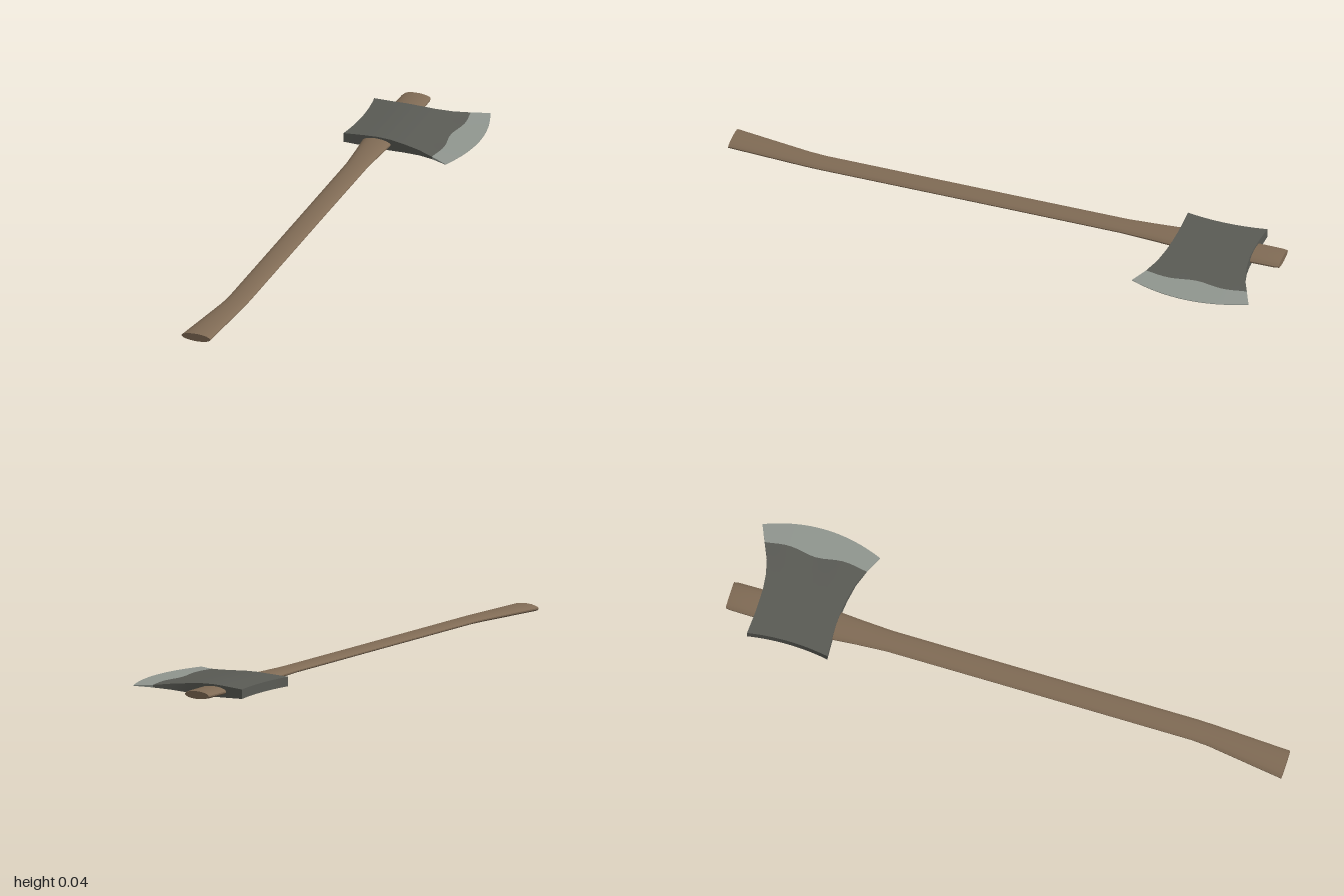
import * as THREE from 'three';
import { toCreasedNormals } from 'three/addons/utils/BufferGeometryUtils.js';

const MID_Y = 0.022;

// Skin a list of closed rings (equal point counts), with flat caps at both ends
function loft(rings, crease) {
  const n = rings[0].length, pos = [], idx = [];
  rings.forEach(r => r.forEach(p => pos.push(...p)));
  for (let i = 0; i < rings.length - 1; i++) {
    for (let j = 0; j < n; j++) {
      const a = i * n + j, b = i * n + (j + 1) % n;
      idx.push(a, b, a + n, b, b + n, a + n);
    }
  }
  const last = (rings.length - 1) * n;
  // Caps bridge opposite points, so curved end faces stay clean
  for (let j = 0; j < n / 2 - 1; j++) {
    const k = n - 1 - j;
    idx.push(j, k, j + 1, j + 1, k, k - 1);
    idx.push(last + j, last + j + 1, last + k, last + j + 1, last + k - 1, last + k);
  }
  const g = new THREE.BufferGeometry();
  g.setAttribute('position', new THREE.Float32BufferAttribute(pos, 3));
  g.setIndex(idx);
  return toCreasedNormals(g, crease);
}

// Ring across the head at one station: back along the lower face, out over the upper
const COLS = 16;
function headRing({ x, z0, z1, h }) {
  const upper = [], lower = [];
  for (let j = 0; j <= COLS; j++) {
    const t = j / COLS, z = z0 + (z1 - z0) * t, px = x(t * 2 - 1);
    upper.push([px, MID_Y + h, z]);
    lower.unshift([px, MID_Y - h, z]);
  }
  return [...lower, ...upper];
}

// Elliptical handle section: z, left and right edge, half thickness
function handleRing([z, xa, xb, h]) {
  const ring = [], n = 20;
  for (let j = 0; j < n; j++) {
    const a = (j + 0.5) / n * Math.PI * 2;
    ring.push([(xa + xb) / 2 + Math.cos(a) * (xb - xa) / 2, MID_Y + Math.sin(a) * h, z]);
  }
  return ring;
}

export function createModel() {
  const group = new THREE.Group();
  const wood = new THREE.MeshStandardMaterial({ name: 'wood', color: 0x806b55 });
  const steel = new THREE.MeshStandardMaterial({ name: 'dark steel', color: 0x5a5b55 });
  const edge = new THREE.MeshStandardMaterial({ name: 'ground steel', color: 0x90968f });

  const add = (name, geometry, material) => {
    const mesh = new THREE.Mesh(geometry, material);
    mesh.name = name;
    group.add(mesh);
  };

  // Handle, flared at the eye and bent towards the butt
  add('handle', loft([
    [-1, -0.151, -0.053, 0.0135],
    [-0.985, -0.154, -0.05, 0.015],
    [-0.9, -0.155, -0.049, 0.0155],
    [-0.62, -0.154, -0.05, 0.0155],
    [-0.54, -0.147, -0.056, 0.014],
    [-0.43, -0.14, -0.062, 0.0115],
    [0.0, -0.14, -0.063, 0.011],
    [0.66, -0.141, -0.063, 0.011],
    [0.72, -0.145, -0.065, 0.012],
    [0.995, -0.185, -0.079, 0.014],
  ].map(handleRing), 0.7), wood);

  // Head stations from poll to cutting edge
  const at = (x, bow = 0) => v => x + bow * (1 - v * v);
  const seam = {
    x: v => 0.114 + 0.008 * (1 - Math.cos(v * Math.PI * 1.75)) * (1 - Math.abs(v) * 0.3),
    z0: -0.943, z1: -0.579, h: 0.0045,
  };
  const stations = [
    { x: at(-0.222, 0.013), z0: -0.902, z1: -0.615, h: 0.0165 },
    { x: at(-0.15, 0.005), z0: -0.897, z1: -0.619, h: 0.02 },
    { x: at(-0.1), z0: -0.896, z1: -0.62, h: 0.0218 },
    { x: at(-0.05), z0: -0.897, z1: -0.618, h: 0.0205 },
    { x: at(0), z0: -0.903, z1: -0.612, h: 0.016 },
    { x: at(0.06), z0: -0.918, z1: -0.6, h: 0.0102 },
    seam,
  ];
  add('headBody', loft(stations.map(headRing), 0.6), steel);

  // Ground cutting bit
  add('cuttingBit', loft([
    seam,
    { x: at(0.177, 0.044), z0: -0.97, z1: -0.549, h: 0.001 },
  ].map(headRing), 0.6), edge);

  return group;
}
